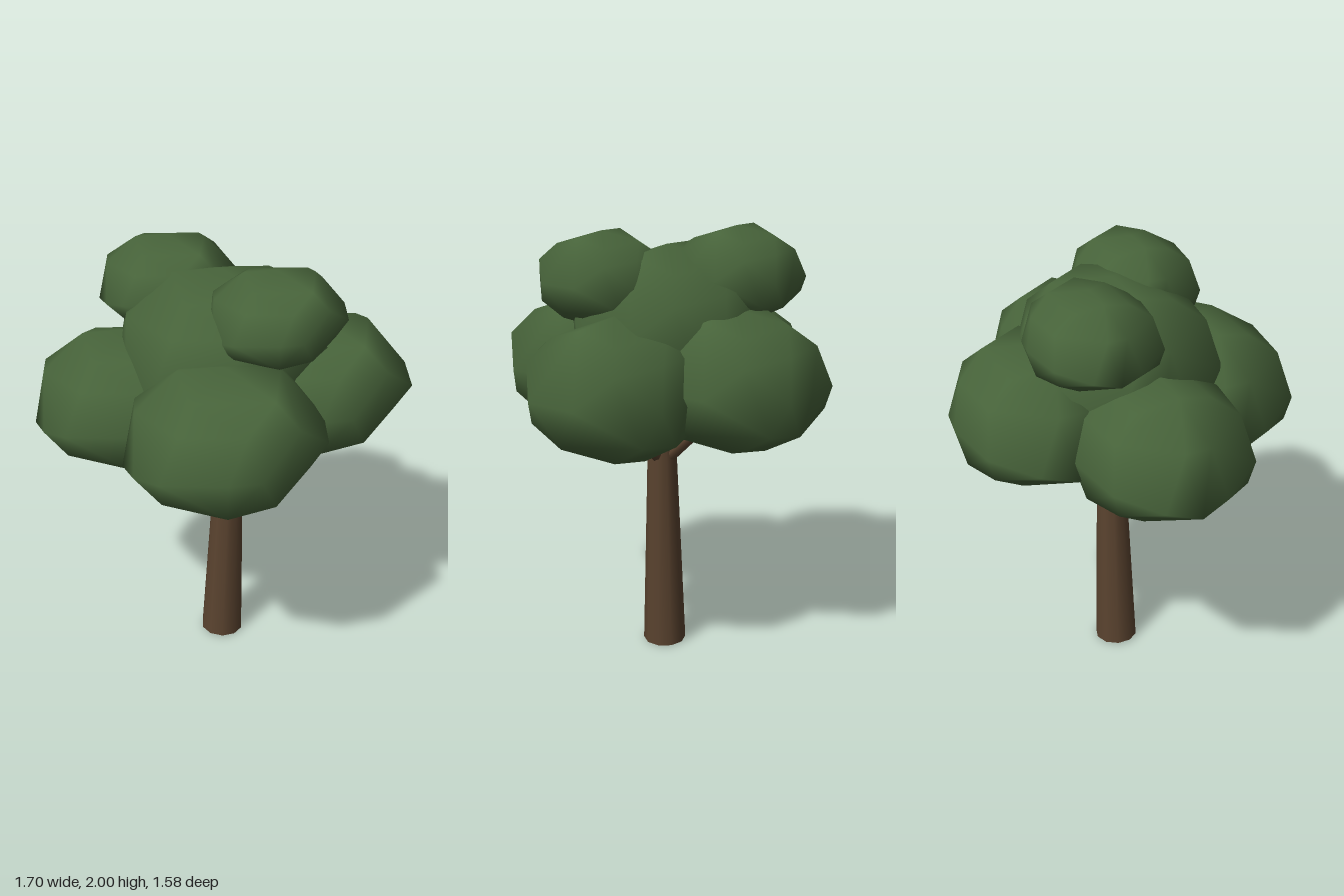
import * as THREE from 'three';
import { ConvexGeometry } from 'three/addons/geometries/ConvexGeometry.js';
import { mergeVertices } from 'three/addons/utils/BufferGeometryUtils.js';

const leafGreen = new THREE.MeshStandardMaterial({ color: 0x47633a });
leafGreen.name = 'leaf green';
const barkBrown = new THREE.MeshStandardMaterial({ color: 0x5a432f });
barkBrown.name = 'bark brown';

// Half of a lumpy leaf clump (x, y, z); points off the middle plane are mirrored in z
const CLUMP = [
  [0, -0.34, 0], [-0.44, -0.13, 0], [-0.39, -0.1, 0.15], [0.37, -0.15, 0], [0.43, 0.04, 0.12],
  [-0.38, 0.17, 0.06], [-0.2, 0.33, 0], [0, 0.345, 0], [0.23, 0.33, 0],
  [-0.15, 0.27, 0.18], [0.2, 0.27, 0.18], [-0.2, 0.18, 0.3], [0.08, 0.19, 0.33], [0.3, 0.17, 0.24],
  [-0.28, -0.02, 0.34], [0, 0, 0.39], [0.14, 0, 0.37],
  [-0.27, -0.13, 0.31], [0, -0.19, 0.34], [0.2, -0.15, 0.31],
  [-0.2, -0.24, 0.16], [0, -0.29, 0.17], [0.18, -0.25, 0.16],
];

function clumpGeometry() {
  const points = [];
  for (const [x, y, z] of CLUMP) {
    points.push(new THREE.Vector3(x, y, z));
    if (z) points.push(new THREE.Vector3(x, y, -z));
  }
  const hull = new ConvexGeometry(points);
  hull.deleteAttribute('normal');
  const smooth = mergeVertices(hull, 1e-4);
  smooth.computeVertexNormals();
  return smooth;
}

// Tapered round limb between two points
function limb(name, from, to, r0, r1, sides) {
  const a = new THREE.Vector3(...from), b = new THREE.Vector3(...to);
  const dir = b.clone().sub(a);
  const mesh = new THREE.Mesh(new THREE.CylinderGeometry(r1, r0, dir.length(), sides), barkBrown);
  mesh.position.copy(a).add(b).multiplyScalar(0.5);
  mesh.quaternion.setFromUnitVectors(new THREE.Vector3(0, 1, 0), dir.normalize());
  mesh.name = name;
  return mesh;
}

export function createModel() {
  const tree = new THREE.Group();
  tree.name = 'tree';

  // Leaning, tapered trunk
  tree.add(limb('trunk', [0, 0.005, -0.02], [0.04, 1.15, -0.03], 0.1, 0.061, 10));

  // Four branches reaching into the lower leaf clumps
  const branches = [
    ['leftBranch', 0.27, 1.14, -0.03],
    ['rightBranch', -0.22, 1.13, -0.03],
    ['frontBranch', 0.03, 1.13, 0.22],
    ['backBranch', 0.03, 1.13, -0.25],
  ];
  for (const [name, x, y, z] of branches) {
    tree.add(limb(name, [0.03, 0.92, -0.03], [x, y, z], 0.034, 0.025, 8));
  }

  // Leaf clumps: name, centre, scale
  const geometry = clumpGeometry();
  const clumps = [
    ['rightLeaves', [-0.42, 1.31, -0.02], [0.98, 0.97, 0.98]],
    ['leftLeaves', [0.42, 1.35, -0.05], [1, 0.97, 0.97]],
    ['frontLeaves', [0, 1.32, 0.39], [1.01, 1, 1.02]],
    ['backLeaves', [0, 1.35, -0.39], [0.98, 0.97, 1.02]],
    ['centreLeaves', [0, 1.55, -0.03], [1.1, 1.1, 1.14]],
    ['topFrontLeaves', [0.225, 1.78, 0.165], [0.7, 0.64, 0.73]],
    ['topBackLeaves', [-0.235, 1.78, -0.245], [0.71, 0.64, 0.73]],
  ];
  for (const [name, position, scale] of clumps) {
    const mesh = new THREE.Mesh(geometry, leafGreen);
    mesh.name = name;
    mesh.position.set(...position);
    mesh.scale.set(...scale);
    tree.add(mesh);
  }
  return tree;
}
